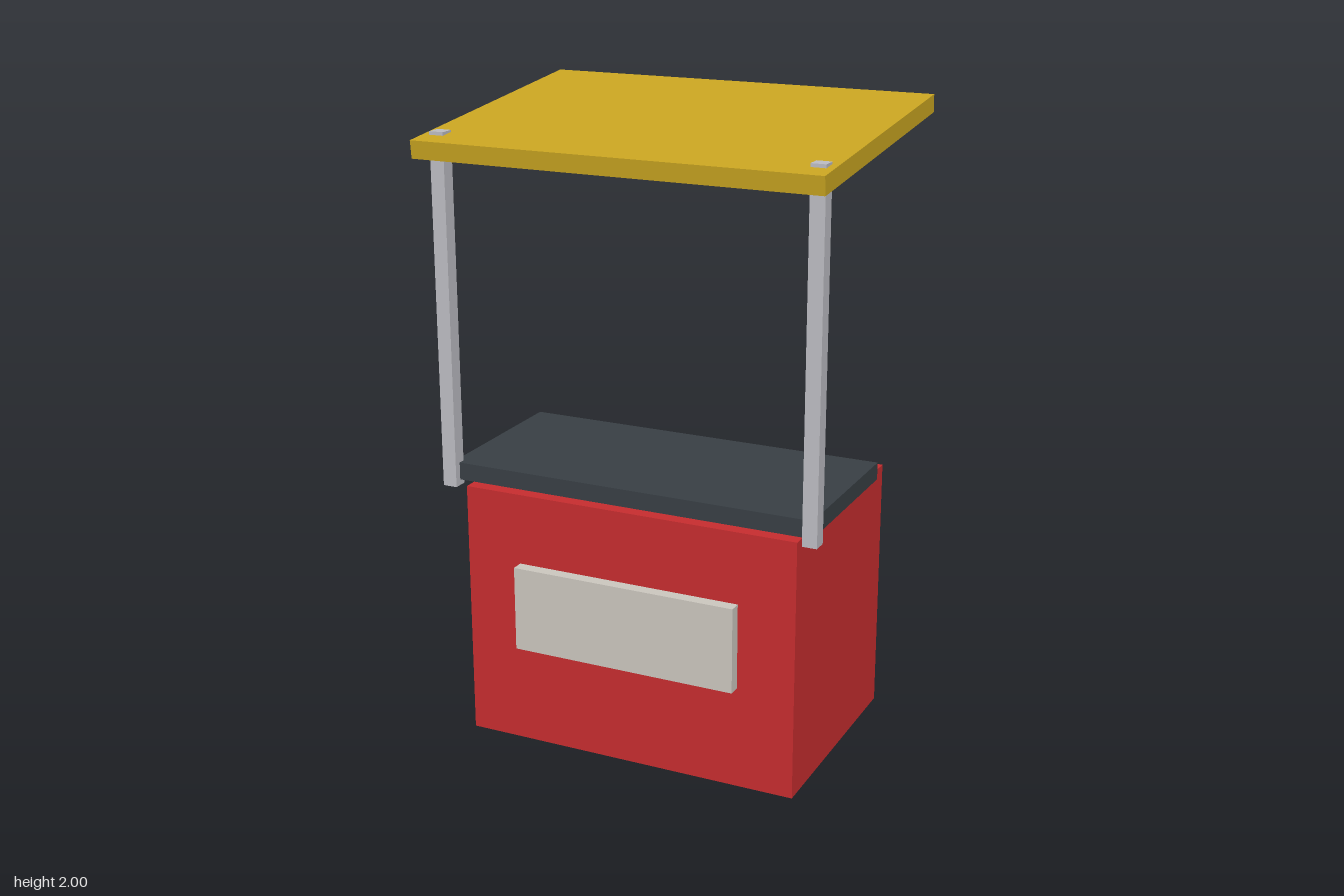
import * as THREE from 'three';

const paint = (name, color) => {
  const m = new THREE.MeshStandardMaterial({ color });
  m.name = name;
  return m;
};

export function createModel() {
  const red = paint('red', 0xc62d2f);
  const gold = paint('gold', 0xc9a521);
  const slate = paint('slate', 0x383f44);
  const steel = paint('steel', 0xbcbcc2);
  const cream = paint('cream', 0xcbc6be);
  const black = paint('black', 0x1a1a1a);
  black.flatShading = true;

  const model = new THREE.Group();
  model.name = 'vendorCart';

  const add = (name, geometry, material, x, y, z) => {
    const mesh = new THREE.Mesh(geometry, material);
    mesh.name = name;
    mesh.position.set(x, y, z);
    model.add(mesh);
    return mesh;
  };
  const box = (w, h, d) => new THREE.BoxGeometry(w, h, d);

  // Cart body, front panel and raised counter
  add('body', box(1.1, 0.826, 0.734), red, 0, 0.413, 0);
  add('frontPanel', box(0.734, 0.272, 0.04), cream, 0, 0.463, 0.386);
  add('counter', box(1.192, 0.055, 0.55), slate, 0, 0.872, 0.092);

  // Sloping roof, higher at the back
  add('roof', box(1.284, 0.055, 0.917), gold, 0, 1.927, 0).rotation.x = 0.1;

  // Paired posts (poking through the roof) and eight-sided rear wheels
  for (const [side, s] of [['left', 1], ['right', -1]]) {
    add(side + 'Post', box(0.046, 1.1, 0.046), steel, s * 0.596, 1.376, 0.367);
    const wheel = new THREE.CylinderGeometry(0.1376, 0.1376, 0.055, 8).rotateX(Math.PI / 2);
    add(side + 'Wheel', wheel, black, s * 0.367, 0.1376, -0.412);
  }

  return model;
}
